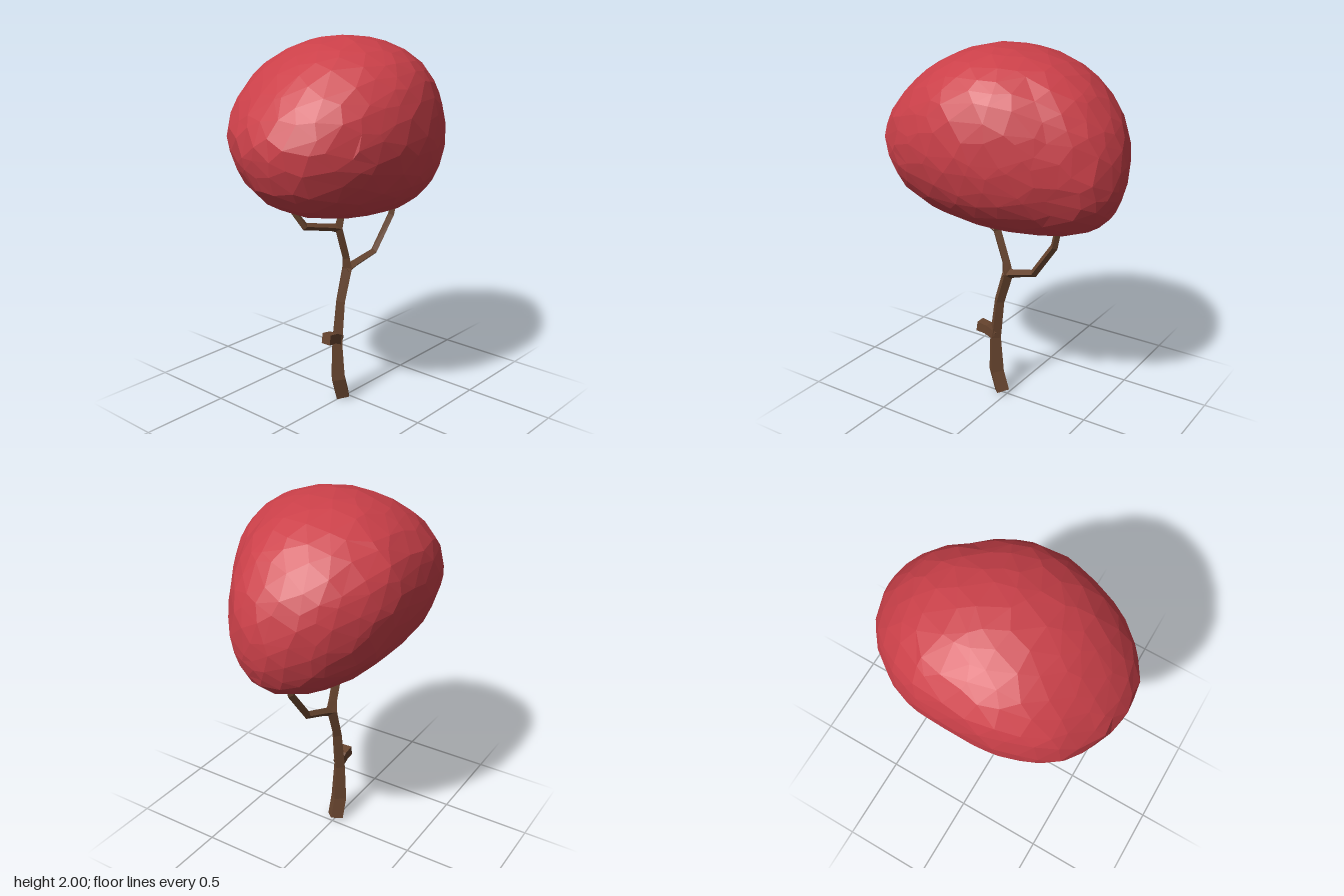
import * as THREE from 'three';
import { mergeVertices } from 'three/addons/utils/BufferGeometryUtils.js';

const bark = new THREE.MeshStandardMaterial({ color: 0x68452f, flatShading: true });
const leaves = new THREE.MeshStandardMaterial({ color: 0xcb4049, flatShading: true });

// Four-sided limb swept along points [x, y, z, radius]; turn rotates the section
function limb(name, points, turn = 0) {
  const centres = points.map(p => new THREE.Vector3(p[0], p[1], p[2]));
  const last = points.length - 1, pos = [], index = [];
  centres.forEach((c, i) => {
    const t = new THREE.Vector3();
    if (i > 0) t.add(c.clone().sub(centres[i - 1]).normalize());
    if (i < last) t.add(centres[i + 1].clone().sub(c).normalize());
    t.normalize();
    const a = new THREE.Vector3(1, 0, 0).addScaledVector(t, -t.x).normalize();
    const b = t.clone().cross(a);
    for (let k = 0; k < 4; k++) {
      const ang = turn + k * Math.PI / 2;
      const v = c.clone().addScaledVector(a, points[i][3] * Math.cos(ang)).addScaledVector(b, points[i][3] * Math.sin(ang));
      pos.push(v.x, v.y, v.z);
      if (i < last) {
        const p = i * 4 + k, q = i * 4 + (k + 1) % 4;
        index.push(p, q, q + 4, p, q + 4, p + 4);
      }
    }
  });
  // End caps
  const e = last * 4;
  index.push(0, 2, 1, 0, 3, 2, e, e + 1, e + 2, e, e + 2, e + 3);
  const geo = new THREE.BufferGeometry();
  geo.setAttribute('position', new THREE.Float32BufferAttribute(pos, 3));
  geo.setIndex(index);
  geo.computeVertexNormals();
  const mesh = new THREE.Mesh(geo, bark);
  mesh.name = name;
  return mesh;
}

// Crown slices from bottom to top, every 15 degrees of latitude: [xMin, xMax, zMin, zMax]
const slices = [
  [0, 0, -0.2, -0.2], [-0.13, 0.14, -0.42, 0.1], [-0.24, 0.27, -0.53, 0.35],
  [-0.34, 0.37, -0.61, 0.52], [-0.42, 0.445, -0.65, 0.61], [-0.47, 0.49, -0.665, 0.655],
  [-0.5, 0.503, -0.655, 0.667], [-0.503, 0.495, -0.61, 0.605], [-0.468, 0.46, -0.535, 0.51],
  [-0.39, 0.39, -0.435, 0.4], [-0.28, 0.28, -0.3, 0.27], [-0.14, 0.14, -0.14, 0.145],
  [0, 0, 0.01, 0.01],
];
// Outline bulge around the crown, from +x towards +z
const bulge = [1, 1.01, 1.04, 1.03, 1, 1, 1.055, 1.04, 0.99, 1.036, 1.016, 1.005, 1, 0.98, 0.905, 0.94];

function crown() {
  let geo = new THREE.IcosahedronGeometry(1, 5);
  geo.deleteAttribute('normal');
  geo.deleteAttribute('uv');
  geo = mergeVertices(geo, 1e-4);
  let seed = 7;
  const rand = () => (seed = (seed * 16807) % 2147483647) / 2147483647 - 0.5;
  const pos = geo.attributes.position, v = new THREE.Vector3();
  for (let i = 0; i < pos.count; i++) {
    // Shift each vertex along the surface for irregular facets
    v.fromBufferAttribute(pos, i);
    v.add(new THREE.Vector3(rand(), rand(), rand()).multiplyScalar(0.11)).normalize();
    const row = (Math.asin(v.y) / Math.PI + 0.5) * 12;
    const r0 = Math.min(11, Math.floor(row));
    const [x0, x1, z0, z1] = slices[r0].map((s, k) => THREE.MathUtils.lerp(s, slices[r0 + 1][k], row - r0));
    const ang = Math.atan2(v.z, v.x);
    const step = ((ang / (Math.PI * 2) + 1) % 1) * 16, s0 = Math.floor(step) % 16;
    const r = THREE.MathUtils.lerp(bulge[s0], bulge[(s0 + 1) % 16], step - Math.floor(step));
    pos.setXYZ(i,
      (x0 + x1) / 2 + (x1 - x0) / 2 * r * Math.cos(ang),
      1.53 + 0.47 * v.y,
      (z0 + z1) / 2 + (z1 - z0) / 2 * r * Math.sin(ang));
  }
  geo.computeVertexNormals();
  const mesh = new THREE.Mesh(geo, leaves);
  mesh.name = 'crown';
  return mesh;
}

export function createModel() {
  const tree = new THREE.Group();
  tree.name = 'tree';
  tree.add(
    crown(),
    // Trunk bends forward, then leans back to the fork
    limb('trunk', [[0, 0.015, 0.035, 0.05], [0, 0.135, 0.072, 0.05], [0, 0.35, 0.078, 0.036],
      [0, 0.58, 0.05, 0.031], [0, 0.76, -0.005, 0.034], [0, 0.82, 0.005, 0.026],
      [0, 1.0, 0.065, 0.027], [0.015, 1.09, 0.052, 0.02], [0.02, 1.2, 0.045, 0.018]]),
    limb('backBranch', [[0, 0.75, 0.01, 0.03], [0.012, 0.775, -0.06, 0.023], [0.035, 0.815, -0.19, 0.022],
      [0.05, 1.0, -0.32, 0.021], [0.06, 1.1, -0.345, 0.019], [0.06, 1.2, -0.36, 0.017]]),
    limb('frontBranch', [[0, 0.995, 0.06, 0.025], [-0.01, 1.01, 0.11, 0.02], [-0.045, 1.043, 0.275, 0.021],
      [-0.085, 1.135, 0.325, 0.018], [-0.1, 1.22, 0.35, 0.016]]),
    limb('branchStub', [[0.005, 0.365, 0.07, 0.036], [0.008, 0.392, 0.125, 0.038], [0.01, 0.4, 0.18, 0.04]], Math.PI / 4),
  );
  return tree;
}
